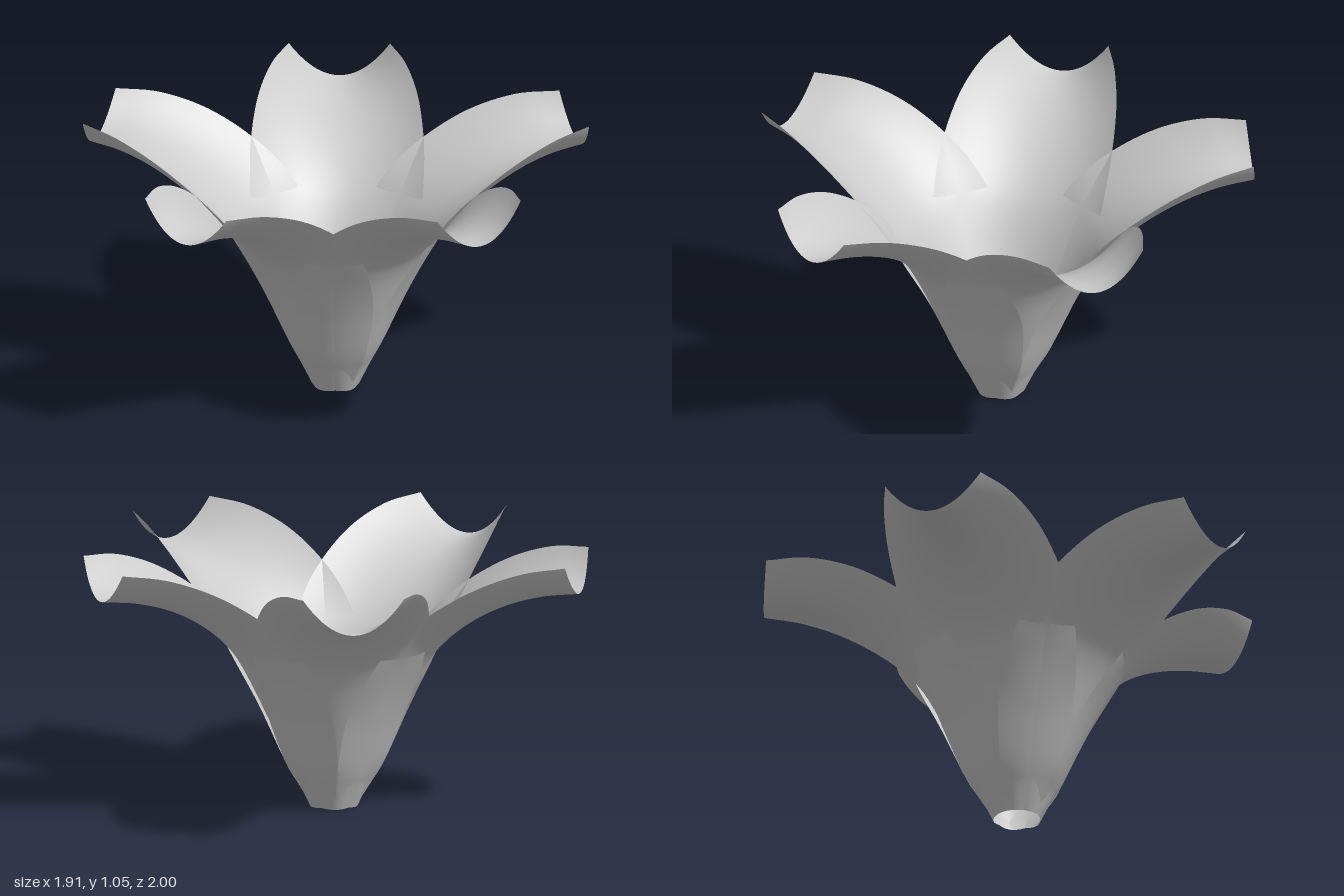
import * as THREE from 'three';
import { ParametricGeometry } from 'three/addons/geometries/ParametricGeometry.js';

const curve = (points) =>
  new THREE.CatmullRomCurve3(points.map((p) => new THREE.Vector3(...p)), false, 'catmullrom', 0.5);

// Keel of one petal (x outward, y up), from the base ring to the tip
const keel = curve([
  [0.095, 0, 0], [0.14, 0.095, 0], [0.18, 0.18, 0], [0.26, 0.355, 0], [0.36, 0.56, 0],
  [0.44, 0.67, 0], [0.56, 0.77, 0], [0.70, 0.845, 0], [0.85, 0.89, 0], [1.0, 0.908, 0],
]);

// Matching rim of the petal; z is the half width
const rim = curve([
  [0.03, 0.01, 0.09], [0.045, 0.1, 0.145], [0.065, 0.2, 0.2], [0.125, 0.42, 0.28], [0.23, 0.61, 0.33],
  [0.33, 0.745, 0.343], [0.465, 0.86, 0.34], [0.64, 0.965, 0.315], [0.82, 1.03, 0.265], [0.985, 1.05, 0.2],
]);

// Trough-shaped petal: a parabola from rim to keel to rim at every step along it
function petalGeometry() {
  const a = new THREE.Vector3();
  const b = new THREE.Vector3();
  return new ParametricGeometry((u, v, target) => {
    const s = u * 2 - 1;
    keel.getPoint(v, a);
    rim.getPoint(v, b);
    target.lerpVectors(a, b, s * s);
    target.z = s * b.z;
  }, 28, 54);
}

export function createModel() {
  const flower = new THREE.Group();
  flower.name = 'flower';
  const material = new THREE.MeshStandardMaterial({ color: 0xcccccc, side: THREE.DoubleSide });
  const geometry = petalGeometry();

  // Five overlapping petals around an open throat
  for (let i = 0; i < 5; i++) {
    const petal = new THREE.Mesh(geometry, material);
    petal.name = `petal${i + 1}`;
    petal.rotation.y = (i * Math.PI * 2) / 5;
    petal.position.x = -0.045;
    flower.add(petal);
  }
  return flower;
}
